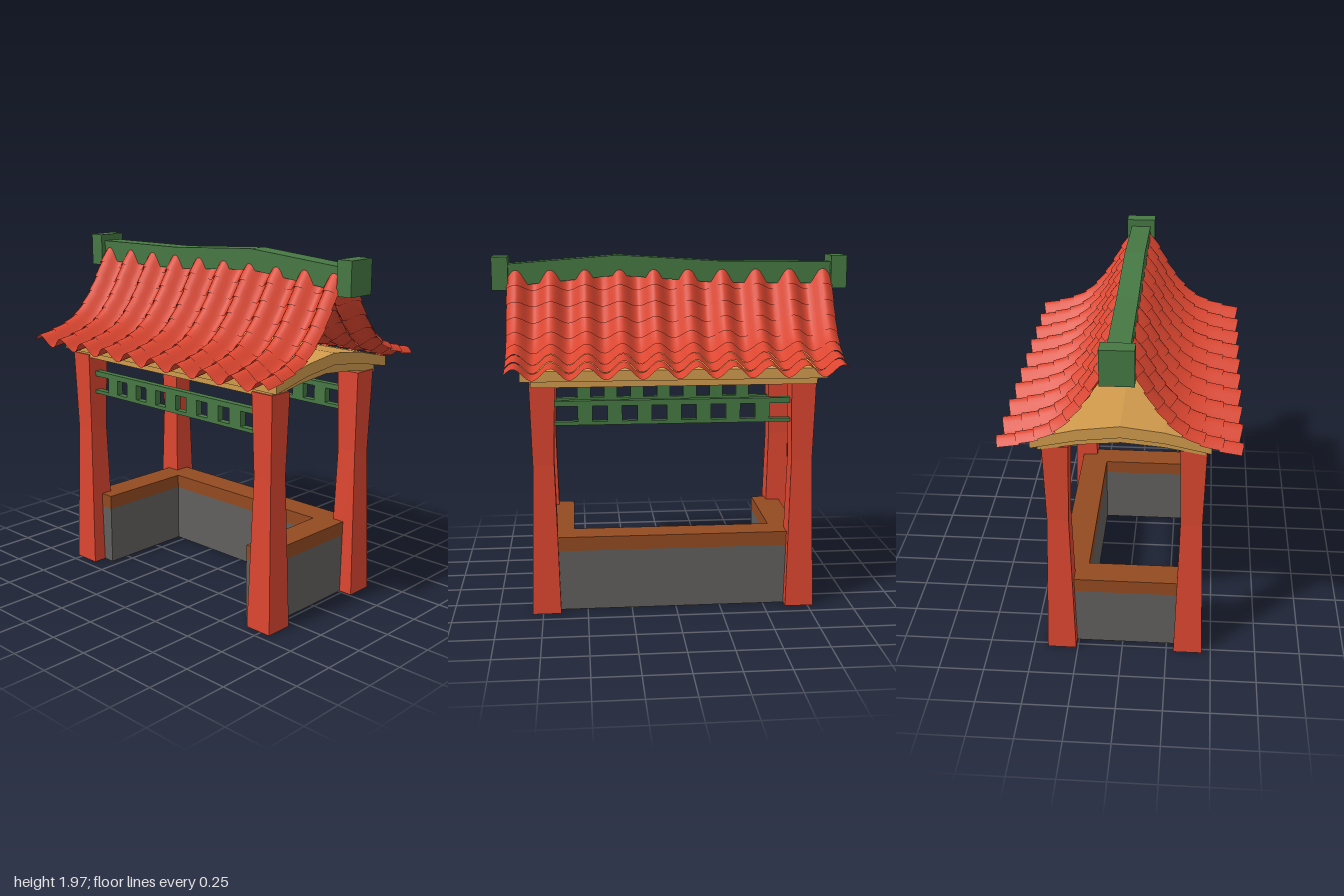
import * as THREE from 'three';
import { mergeGeometries } from 'three/addons/utils/BufferGeometryUtils.js';

const mat = (name, color, side = THREE.FrontSide) =>
  new THREE.MeshStandardMaterial({ name, color, side });

export function createModel() {
  const group = new THREE.Group();
  const red = mat('red lacquer', 0xdc4630);
  const tile = mat('red tile', 0xdc4630, THREE.DoubleSide);
  const green = mat('green paint', 0x467843);
  const yellow = mat('yellow wood', 0xd09a4c);
  const brown = mat('brown wood', 0x934a20);
  const gray = mat('gray stone', 0x615f5d);

  const add = (name, geometry, material) => {
    const mesh = new THREE.Mesh(geometry, material);
    mesh.name = name;
    group.add(mesh);
    return mesh;
  };
  const box = (w, h, d, x, y, z) => new THREE.BoxGeometry(w, h, d).translate(x, y, z);
  const shapeOf = (pts) => new THREE.Shape(pts.map(([x, y]) => new THREE.Vector2(x, y)));
  const extrude = (pts, depth) =>
    new THREE.ExtrudeGeometry(shapeOf(pts), { depth, bevelEnabled: false });

  // Corner pillars, slightly waisted
  const pillarGeo = () => {
    const g = new THREE.BoxGeometry(1, 2, 1, 1, 2, 1);
    const p = g.attributes.position;
    for (let i = 0; i < p.count; i++) {
      const level = Math.round(p.getY(i)) + 1;
      const w = [0.16, 0.116, 0.138][level];
      p.setXYZ(i, p.getX(i) * w, [0, 0.85, 1.305][level], p.getZ(i) * w);
    }
    const flat = g.toNonIndexed();
    flat.computeVertexNormals();
    return flat;
  };
  for (const x of [0.34, -0.37])
    for (const z of [0.73, -0.70]) add('pillar', pillarGeo(), red).position.set(x, 0, z);

  // U-shaped counter, open on the -x side (shape y is -z)
  const counter = [[-0.37, -0.73], [0.36, -0.73], [0.36, 0.71], [-0.37, 0.71],
    [-0.37, 0.55], [0.20, 0.55], [0.20, -0.57], [-0.37, -0.57]];
  const layer = (y, h) => extrude(counter, h).rotateX(-Math.PI / 2).translate(0, y, 0);
  add('counterWall', layer(0, 0.345), gray);
  add('counterTop', layer(0.345, 0.08), brown);

  // Lattice rails under the eaves
  for (const x of [0.34, -0.37]) {
    const parts = [box(0.04, 0.03, 1.34, x, 1.185, 0.01), box(0.04, 0.02, 1.34, x, 1.075, 0.01)];
    for (let i = -3; i <= 3; i++) parts.push(box(0.04, 0.09, 0.08, x, 1.128, 0.01 - i * 0.163));
    add('latticeRail', mergeGeometries(parts), green);
  }

  // Two arched ceiling boards: half-profiles are mirrored
  const arch = (bottom, top, z0, z1) => {
    const mirror = (h) => [...h.slice(1).reverse().map(([x, y]) => [-x, y]), ...h];
    return extrude([...mirror(bottom), ...mirror(top).reverse()], z1 - z0).translate(0, 0, z0);
  };
  add('lowerCeilingBoard', arch([[0, 1.345], [0.22, 1.325], [0.43, 1.287]],
    [[0, 1.41], [0.22, 1.385], [0.43, 1.335]], -0.77, 0.79), yellow);
  add('upperCeilingBoard', arch([[0, 1.4], [0.22, 1.375], [0.46, 1.323]],
    [[0, 1.465], [0.22, 1.437], [0.46, 1.38]], -0.82, 0.845), yellow);

  // Corrugated roof: overlapping rows of tiles along a sagging curve
  const sag = new THREE.SplineCurve([[0.035, 1.87], [0.085, 1.795], [0.165, 1.655], [0.24, 1.555],
    [0.32, 1.48], [0.43, 1.427], [0.605, 1.38]].map(([x, y]) => new THREE.Vector2(x, y)));
  const ROWS = 8, STEPS = 4, ACROSS = 120, PITCH = 0.193;
  const tileRow = (side, row) => {
    const pos = [], index = [];
    for (let j = 0; j <= STEPS; j++) {
      const f = j / STEPS;
      const t = Math.max(0, (row - 0.15 + 1.15 * f) / ROWS);
      const c = sag.getPointAt(t), d = sag.getTangentAt(t);
      for (let i = 0; i <= ACROSS; i++) {
        const z = 0.92 - 1.84 * i / ACROSS;
        const off = 0.034 * Math.cos((z - 0.87) / PITCH * Math.PI * 2) + 0.01 * (f - 0.5);
        pos.push(side * (c.x - d.y * off), c.y + d.x * off, z);
        if (i < ACROSS && j < STEPS) {
          const a = j * (ACROSS + 1) + i, b = a + ACROSS + 1;
          if (side > 0) index.push(a, b, a + 1, b, b + 1, a + 1);
          else index.push(a, a + 1, b, b, a + 1, b + 1);
        }
      }
    }
    const g = new THREE.BufferGeometry();
    g.setAttribute('position', new THREE.Float32BufferAttribute(pos, 3));
    g.setIndex(index);
    g.computeVertexNormals();
    return g;
  };
  for (const side of [1, -1]) {
    const rows = [];
    for (let r = 0; r < ROWS; r++) rows.push(tileRow(side, r));
    add('roofTiles', mergeGeometries(rows), tile);
  }

  // Ridge beam, bent along its length (shape x is -z)
  const ridge = [[-0.93, 1.795], [-0.3, 1.855], [0.28, 1.81], [0.93, 1.805],
    [0.93, 1.925], [0.28, 1.932], [-0.3, 1.968], [-0.93, 1.92]];
  add('ridgeBeam', extrude(ridge, 0.115).translate(0, 0, -0.0575).rotateY(Math.PI / 2), green);
  for (const s of [1, -1]) add('ridgeEndBlock', box(0.17, 0.185, 0.09, 0, 1.87, s * 0.955), green);

  return group;
}
